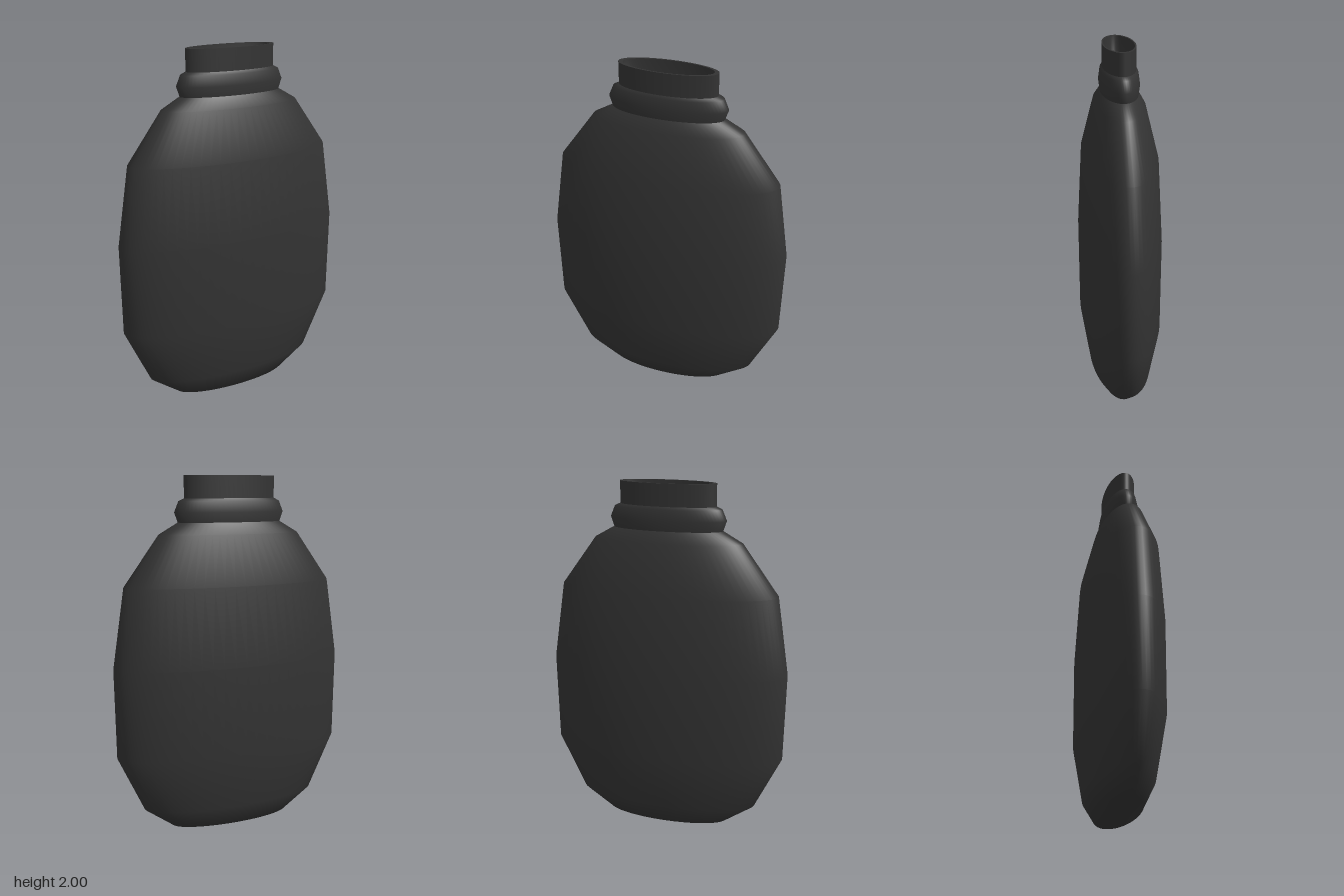
import * as THREE from 'three';

const DEPTH = 1 / 3; // the flask is a turned shape flattened front to back

export function createModel() {
  const flask = new THREE.Group();
  flask.name = 'flask';

  const shell = new THREE.MeshStandardMaterial({ color: 0x333333 });
  shell.name = 'charcoal';
  const liquid = new THREE.MeshStandardMaterial({ color: 0x6c746c });
  liquid.name = 'greyGreen';

  // Turned part from [radius, height] pairs
  function turned(name, profile, material) {
    const points = profile.map(([r, y]) => new THREE.Vector2(r, y));
    const geometry = new THREE.LatheGeometry(points, 64);
    geometry.scale(1, 1, DEPTH);
    const mesh = new THREE.Mesh(geometry, material);
    mesh.name = name;
    flask.add(mesh);
  }

  // Faceted profile with a flat base and sloping shoulders
  turned('body', [
    [0, 0], [0.365, 0], [0.535, 0.12], [0.69, 0.44], [0.7, 0.95],
    [0.632, 1.4], [0.427, 1.68], [0.312, 1.745],
  ], shell);

  // Bulging ring between shoulders and neck
  turned('collar', [
    [0.312, 1.74], [0.333, 1.8], [0.308, 1.86], [0.272, 1.877],
  ], shell);

  turned('neck', [[0.275, 1.86], [0.275, 2]], shell);
  turned('lip', [[0.275, 2], [0.25, 2]], shell);

  // Inner wall narrowing down to the contents
  turned('throat', [[0.25, 2], [0.24, 1.88], [0.17, 1.75]], shell);
  turned('contents', [[0.172, 1.752], [0, 1.752]], liquid);

  return flask;
}
